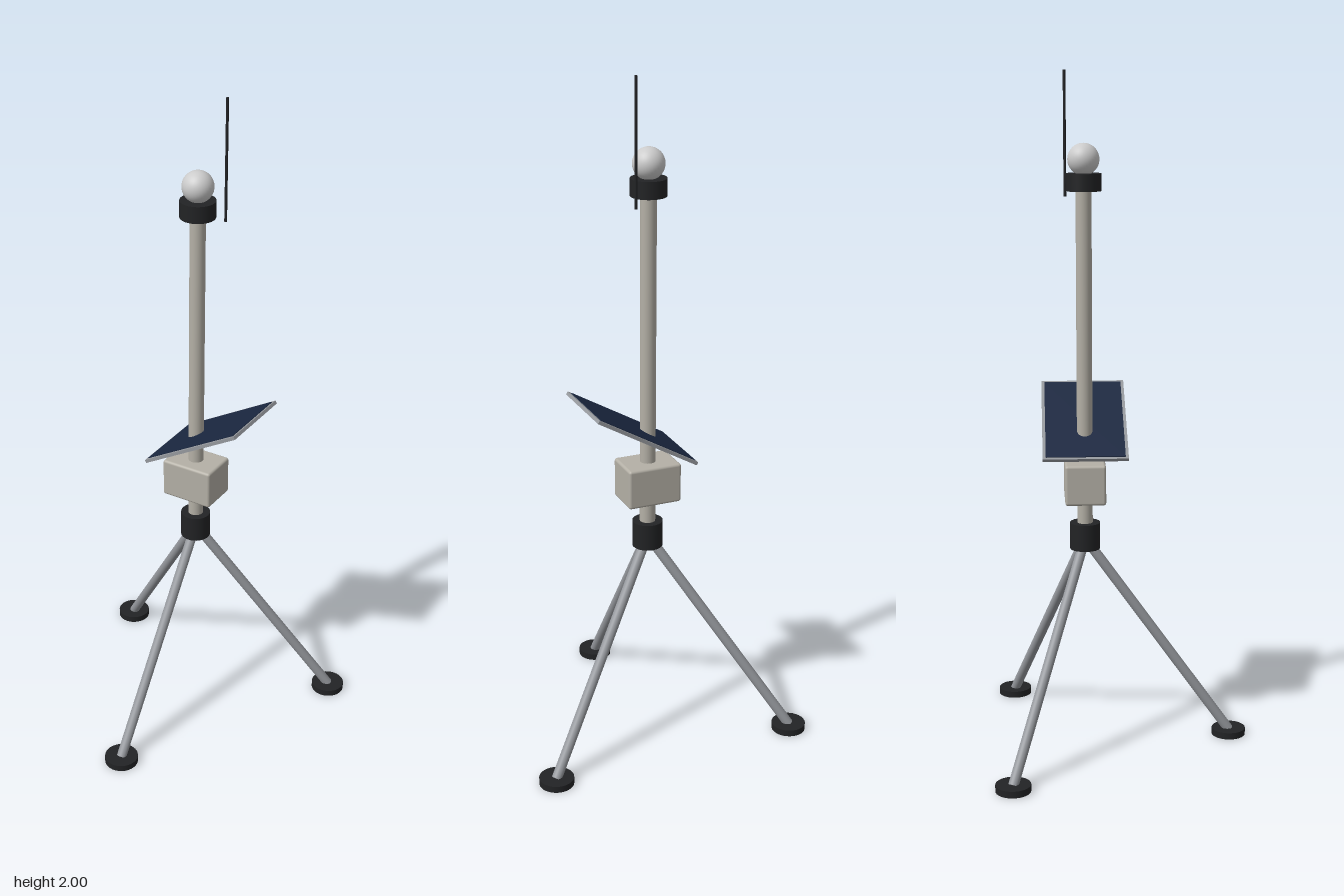
import * as THREE from 'three';
import { RoundedBoxGeometry } from 'three/addons/geometries/RoundedBoxGeometry.js';

const mat = (color) => new THREE.MeshStandardMaterial({ color });

export function createModel() {
  const model = new THREE.Group();
  const black = mat(0x222325), metal = mat(0x96999e), beige = mat(0xb4b0a6);
  const navy = mat(0x1a2740), white = mat(0xd8dadc);

  const add = (parent, name, geometry, material, x = 0, y = 0, z = 0) => {
    const mesh = new THREE.Mesh(geometry, material);
    mesh.name = name;
    mesh.position.set(x, y, z);
    parent.add(mesh);
    return mesh;
  };
  const rod = (r, h, segments = 32) => new THREE.CylinderGeometry(r, r, h, segments);

  // Everything is built around the mast axis
  const station = new THREE.Group();
  station.name = 'station';
  station.position.z = -0.11;
  model.add(station);

  // Tripod: one leg to the front, two to the back
  const up = new THREE.Vector3(0, 1, 0);
  const legTop = new THREE.Vector3(0, 0.63, 0);
  for (let i = 0; i < 3; i++) {
    const a = (i * Math.PI * 2) / 3;
    const foot = new THREE.Vector3(Math.sin(a) * 0.438, 0.01, Math.cos(a) * 0.438);
    const legFoot = new THREE.Vector3(foot.x, 0.015, foot.z);
    const dir = legTop.clone().sub(legFoot);
    const leg = add(station, 'tripodLeg', rod(0.015, dir.length(), 24), metal);
    leg.position.copy(legTop).add(legFoot).multiplyScalar(0.5);
    leg.quaternion.setFromUnitVectors(up, dir.normalize());
    add(station, 'footPad', rod(0.051, 0.02), black, foot.x, foot.y, foot.z);
  }

  // Mast with tripod hub and equipment box
  add(station, 'tripodHub', rod(0.045, 0.08), black, 0, 0.64, 0);
  add(station, 'mast', rod(0.023, 1.06), beige, 0, 1.14, 0);
  add(station, 'equipmentBox', new RoundedBoxGeometry(0.164, 0.12, 0.12, 3, 0.008), beige, 0, 0.81, 0);

  // Solar panel tilted about the z axis, pierced by the mast
  const panel = new THREE.Group();
  panel.name = 'solarPanel';
  panel.position.set(0.05, 0.98, 0);
  panel.rotation.z = Math.PI / 6;
  station.add(panel);
  add(panel, 'panelFrame', new THREE.BoxGeometry(0.35, 0.01, 0.25), metal);
  add(panel, 'solarCells', new THREE.BoxGeometry(0.334, 0.004, 0.232), navy, 0, 0.005, 0);

  // Sensor head
  add(station, 'sensorCollar', rod(0.052, 0.05), black, 0, 1.685, 0);
  add(station, 'sensorDome', new THREE.SphereGeometry(0.046, 32, 24), white, 0, 1.75, 0);
  add(station, 'antenna', rod(0.004, 0.36, 12), black, 0.06, 1.82, -0.052);

  return model;
}
